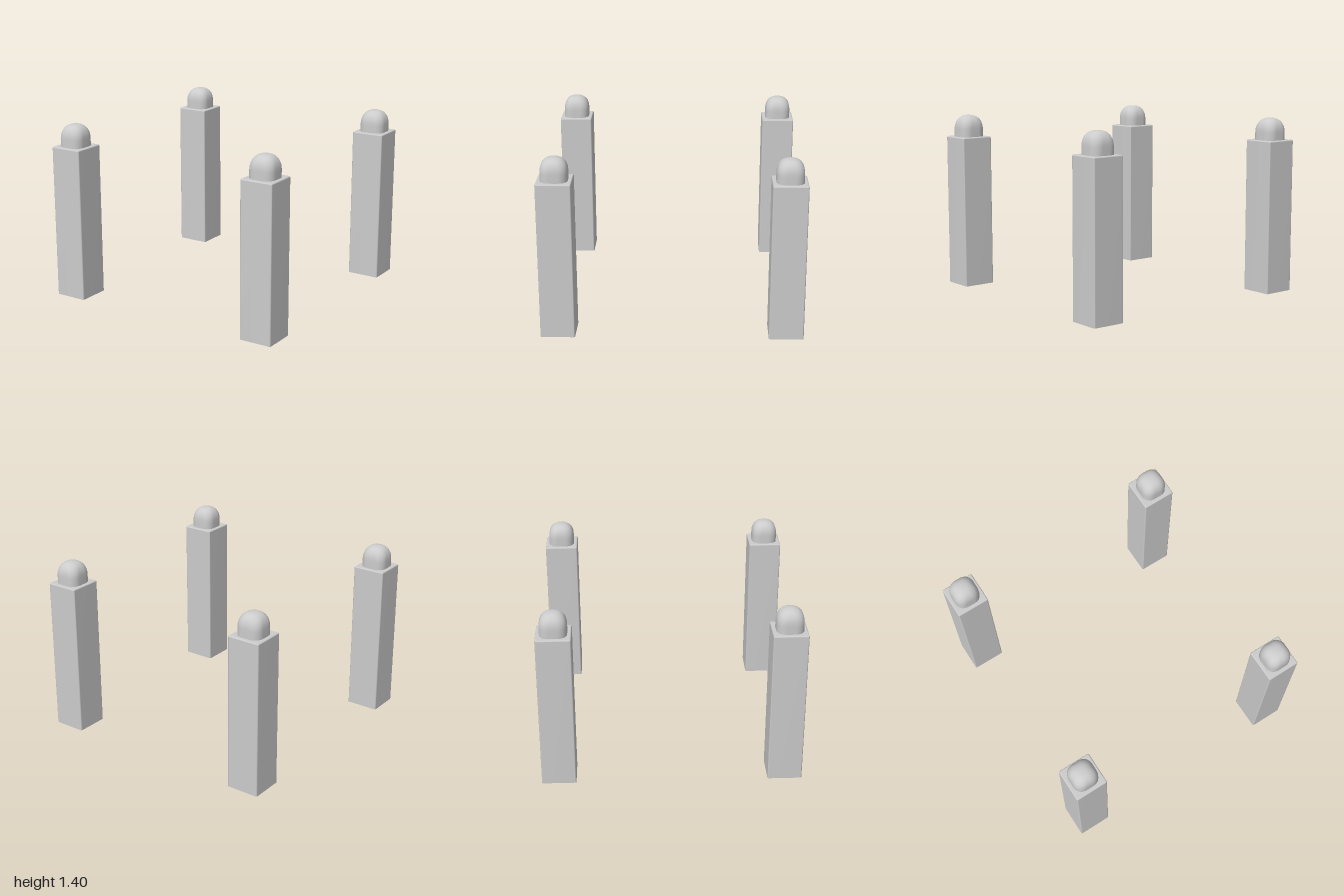
import * as THREE from 'three';

const material = new THREE.MeshStandardMaterial({ color: 0xcccccc, side: THREE.DoubleSide });

// Outline of a square with rounded corners: half width h, corner radius r
function roundedSquare(h, r, steps) {
  const points = [];
  for (let c = 0; c < 4; c++) {
    const mid = (c + 0.5) * Math.PI / 2;
    const cx = Math.sign(Math.cos(mid)) * (h - r);
    const cz = Math.sign(Math.sin(mid)) * (h - r);
    for (let i = 0; i <= steps; i++) {
      const a = (c + i / steps) * Math.PI / 2;
      points.push([cx + r * Math.cos(a), cz + r * Math.sin(a)]);
    }
  }
  return points;
}

// Skin over [halfWidth, radius, y] sections, open below and closed at the top
function loft(sections, steps) {
  const n = 4 * (steps + 1), positions = [], index = [];
  for (const [h, r, y] of sections) {
    for (const [x, z] of roundedSquare(h, r, steps)) positions.push(x, y, z);
  }
  const apex = sections.length * n;
  positions.push(0, sections[sections.length - 1][2], 0);
  for (let s = 0; s < sections.length; s++) {
    for (let j = 0; j < n; j++) {
      const a = s * n + j, b = s * n + (j + 1) % n;
      if (s === sections.length - 1) index.push(a, apex, b);
      else index.push(a, a + n, b, b, a + n, b + n);
    }
  }
  const geometry = new THREE.BufferGeometry();
  geometry.setAttribute('position', new THREE.Float32BufferAttribute(positions, 3));
  geometry.setIndex(index);
  geometry.computeVertexNormals();
  return geometry;
}

// Square shaft with a small bevel around its top edge
function shaftGeometry() {
  const half = 0.132, bevel = 0.01, height = 1.225;
  const sections = [[half, bevel, 0]];
  for (let i = 0; i <= 3; i++) {
    const a = i / 3 * Math.PI / 2;
    const inset = bevel * (1 - Math.cos(a));
    sections.push([half - inset, bevel - inset * 0.8, height - bevel + bevel * Math.sin(a)]);
  }
  return loft(sections, 3);
}

// Soft square knob that turns into a dome
function knobGeometry() {
  const half = 0.103, base = 1.22, shoulder = 1.285, rise = 0.115;
  const sections = [[half, 0.07, base]];
  for (let i = 0; i < 12; i++) {
    const t = i / 12, a = t * Math.PI / 2;
    const h = half * Math.pow(Math.cos(a), 0.78);
    sections.push([h, h * (0.68 + 0.25 * t), shoulder + rise * Math.pow(Math.sin(a), 0.85)]);
  }
  sections.push([0.006, 0.006, shoulder + rise]);
  return loft(sections, 6);
}

export function createModel() {
  const model = new THREE.Group();
  model.name = 'cornerPosts';
  const shaft = shaftGeometry(), knob = knobGeometry();
  const offset = 0.868;

  // One post at each corner
  for (const [sideName, x] of [['Left', offset], ['Right', -offset]]) {
    for (const [endName, z] of [['front', offset], ['back', -offset]]) {
      const post = new THREE.Group();
      post.name = endName + sideName + 'Post';
      for (const [name, geometry] of [['shaft', shaft], ['knob', knob]]) {
        const mesh = new THREE.Mesh(geometry, material);
        mesh.name = name;
        post.add(mesh);
      }
      post.position.set(x, 0, z);
      model.add(post);
    }
  }
  return model;
}
